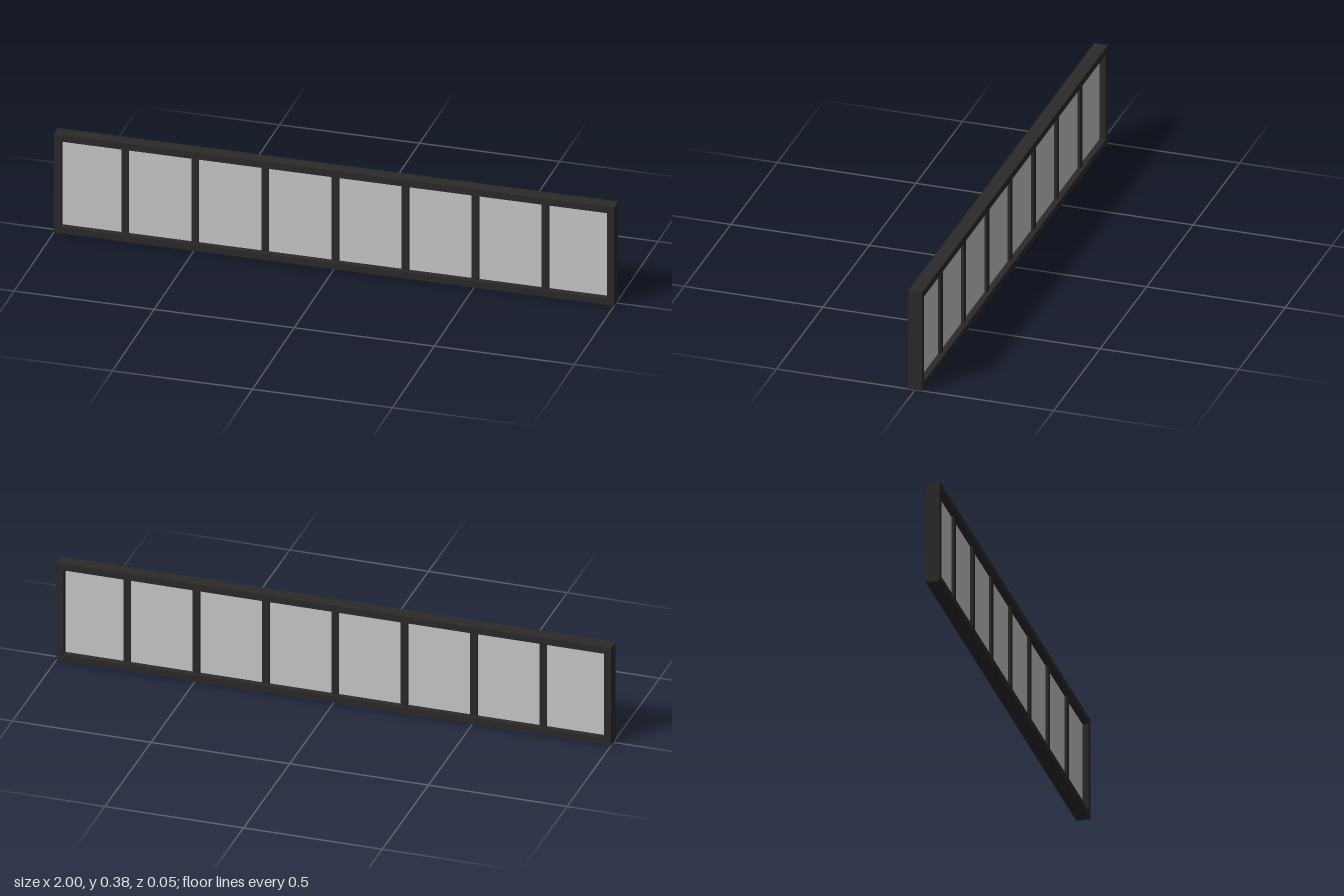
import * as THREE from 'three';

const W = 2, H = 0.375, DEPTH = 0.05;
const BAR = 0.025;          // visible width of frame members and mullions
const BAYS = 8;
const MULLION_DEPTH = 0.025;
const PANE_DEPTH = 0.006;

export function createModel() {
  const group = new THREE.Group();
  const dark = new THREE.MeshStandardMaterial({ color: 0x2a2a2a });
  const grey = new THREE.MeshStandardMaterial({ color: 0xcccccc });

  const add = (name, geometry, material, x, y, z) => {
    const mesh = new THREE.Mesh(geometry, material);
    mesh.name = name;
    mesh.position.set(x, y, z);
    group.add(mesh);
  };

  // Outer frame: one extruded rectangle with a rectangular opening
  const rect = (path, x, y) => path
    .moveTo(-x, y).lineTo(x, y).lineTo(x, H - y).lineTo(-x, H - y).closePath();
  const outline = rect(new THREE.Shape(), W / 2, 0);
  outline.holes.push(rect(new THREE.Path(), W / 2 - BAR, BAR));
  add('outerFrame', new THREE.ExtrudeGeometry(outline, { depth: DEPTH, bevelEnabled: false }),
    dark, 0, 0, -DEPTH / 2);

  // Mullions, set back from the frame faces
  const pitch = W / BAYS;
  const innerH = H - 2 * BAR;
  const mullion = new THREE.BoxGeometry(BAR, innerH, MULLION_DEPTH);
  for (let i = 1; i < BAYS; i++) {
    add(`mullion${i}`, mullion, dark, -W / 2 + i * pitch, H / 2, 0);
  }

  // Thin panes filling each bay; the end bays are narrowed by the full frame bar
  for (let i = 0; i < BAYS; i++) {
    const x0 = -W / 2 + i * pitch + (i === 0 ? BAR : BAR / 2);
    const x1 = -W / 2 + (i + 1) * pitch - (i === BAYS - 1 ? BAR : BAR / 2);
    add(`pane${i + 1}`, new THREE.BoxGeometry(x1 - x0, innerH, PANE_DEPTH),
      grey, (x0 + x1) / 2, H / 2, 0);
  }

  return group;
}
